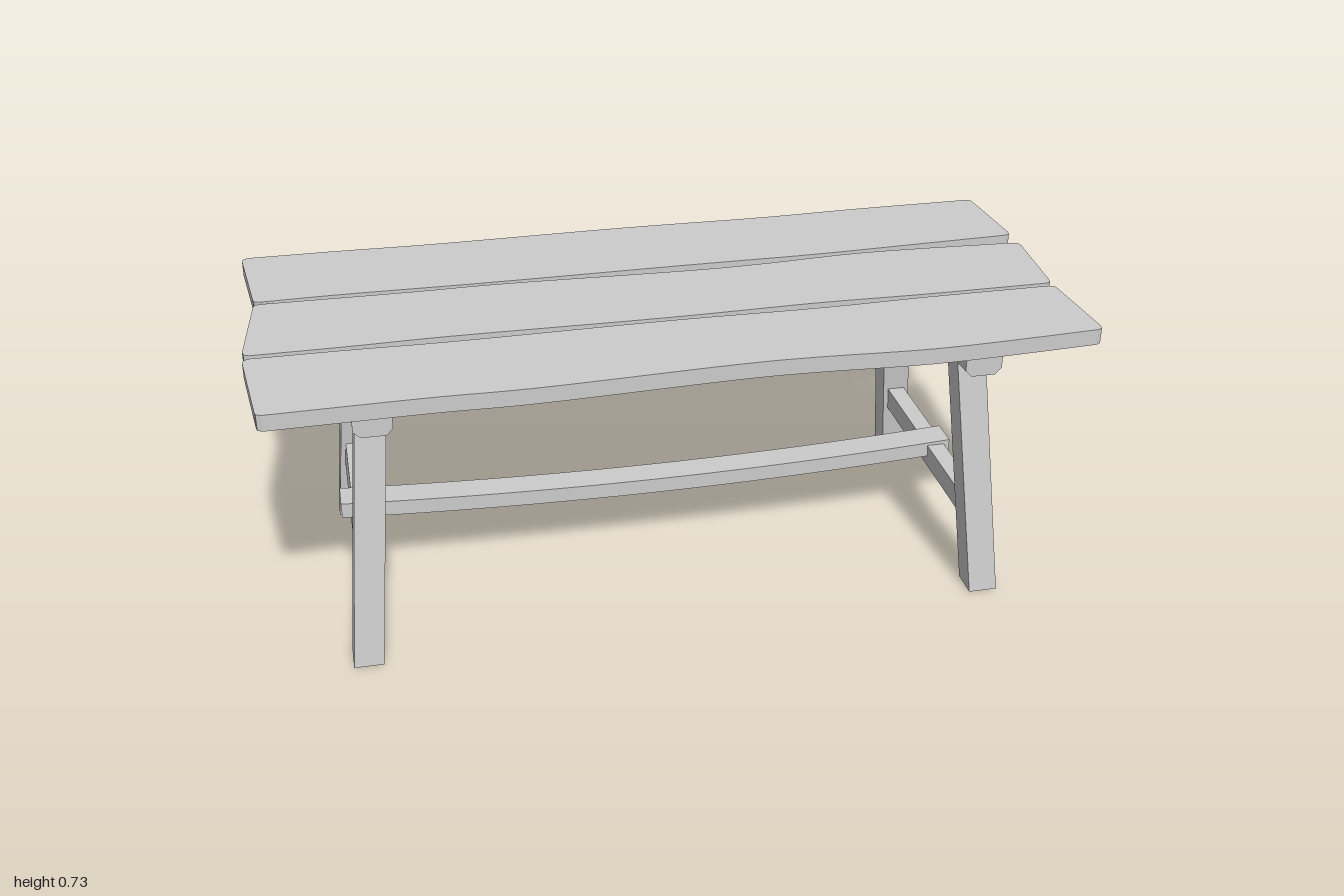
import * as THREE from 'three';

const material = new THREE.MeshStandardMaterial({ color: 0xcccccc, flatShading: true });

function addMesh(parent, name, geometry) {
  const mesh = new THREE.Mesh(geometry, material);
  mesh.name = name;
  parent.add(mesh);
  return mesh;
}

// Box whose vertices are moved by a rule
function shapedBox(w, h, d, segX, rule) {
  let geo = new THREE.BoxGeometry(w, h, d, segX, 1, 1);
  const pos = geo.attributes.position;
  const v = new THREE.Vector3();
  for (let i = 0; i < pos.count; i++) {
    v.fromBufferAttribute(pos, i);
    rule(v);
    pos.setXYZ(i, v.x, v.y, v.z);
  }
  geo = geo.toNonIndexed();
  geo.computeVertexNormals();
  return geo;
}

// Closed solid from equal-length rings (counter-clockwise seen from +z, ordered along +z)
function loft(rings) {
  const out = [];
  const tri = (a, b, c) => out.push(...a, ...b, ...c);
  const n = rings[0].length;
  for (let r = 0; r < rings.length - 1; r++) {
    for (let i = 0; i < n; i++) {
      const j = (i + 1) % n;
      tri(rings[r][i], rings[r][j], rings[r + 1][j]);
      tri(rings[r][i], rings[r + 1][j], rings[r + 1][i]);
    }
  }
  const first = rings[0], last = rings[rings.length - 1];
  for (let i = 1; i < n - 1; i++) {
    tri(first[0], first[i + 1], first[i]);
    tri(last[0], last[i], last[i + 1]);
  }
  const geo = new THREE.BufferGeometry();
  geo.setAttribute('position', new THREE.Float32BufferAttribute(out, 3));
  geo.computeVertexNormals();
  return geo;
}

// Plank with wavy long edges, given as [x, z] points from left to right
function plank(back, front) {
  const smooth = (pts) => new THREE.SplineCurve(pts.map(([x, z]) => new THREE.Vector2(x, -z))).getPoints(28);
  const tip = ([x, z], dx, dz) => new THREE.Vector2(x + dx, -(z + dz));
  const b = back, f = front;
  const outline = [
    ...smooth(f),
    tip(f[f.length - 1], 0.012, -0.006), tip(f[f.length - 1], 0.015, -0.02),
    tip(b[b.length - 1], 0.015, 0.02), tip(b[b.length - 1], 0.012, 0.006),
    ...smooth(b).reverse(),
    tip(b[0], -0.012, 0.006), tip(b[0], -0.015, 0.02),
    tip(f[0], -0.015, -0.02), tip(f[0], -0.012, -0.006),
  ];
  const geo = new THREE.ExtrudeGeometry(new THREE.Shape(outline), { depth: 0.04, bevelEnabled: false });
  geo.rotateX(-Math.PI / 2);
  geo.translate(0, 0.686, 0);
  return geo;
}

// Cross beam with its long edges chamfered towards both ends
function beam(cx) {
  const hw = 0.045, y0 = 0.626, y1 = 0.69;
  const ring = (z, top, bottom) => [
    [cx - hw + bottom, y0, z], [cx + hw - bottom, y0, z],
    [cx + hw, y0 + bottom, z], [cx + hw, y1 - top, z],
    [cx + hw - top, y1, z], [cx - hw + top, y1, z],
    [cx - hw, y1 - top, z], [cx - hw, y0 + bottom, z],
  ];
  const e = 0.0002;
  return loft([
    ring(-0.395, 0.012, 0.016), ring(-0.3, e, 0.008), ring(-0.21, e, e),
    ring(0.21, e, e), ring(0.3, e, 0.008), ring(0.395, 0.012, 0.016),
  ]);
}

// Square leg leaning from its foot centre to its top centre
function leg(foot, top) {
  const h = 0.628;
  return shapedBox(0.072, h, 0.072, 1, (v) => {
    const t = v.y / h + 0.5;
    v.x += THREE.MathUtils.lerp(foot[0], top[0], t);
    v.z += THREE.MathUtils.lerp(foot[1], top[1], t);
    v.y = t * h;
  });
}

export function createModel() {
  const table = new THREE.Group();
  table.name = 'trestleTable';

  // Table top
  const top = new THREE.Group();
  top.name = 'tableTop';
  table.add(top);
  addMesh(top, 'backPlank', plank(
    [[-0.985, -0.432], [-0.75, -0.431], [-0.5, -0.426], [0, -0.432], [0.37, -0.426], [0.65, -0.432], [0.97, -0.432]],
    [[-0.96, -0.154], [-0.75, -0.158], [-0.4, -0.154], [0.1, -0.157], [0.45, -0.156], [0.7, -0.164], [0.985, -0.174]],
  ));
  addMesh(top, 'middlePlank', plank(
    [[-0.96, -0.142], [-0.6, -0.138], [-0.35, -0.14], [0.1, -0.124], [0.3, -0.126], [0.6, -0.141], [0.985, -0.122]],
    [[-0.985, 0.135], [-0.75, 0.134], [-0.5, 0.129], [0, 0.135], [0.37, 0.129], [0.65, 0.135], [0.97, 0.135]],
  ));
  addMesh(top, 'frontPlank', plank(
    [[-0.985, 0.151], [-0.75, 0.152], [-0.5, 0.157], [0, 0.151], [0.37, 0.157], [0.65, 0.151], [0.97, 0.151]],
    [[-0.96, 0.43], [-0.6, 0.424], [-0.35, 0.427], [0.1, 0.408], [0.3, 0.41], [0.6, 0.425], [0.985, 0.408]],
  ));

  // Two trestles: beam, pair of leaning legs and a crossbar
  const trestles = [
    { name: 'rightTrestle', beamX: -0.725, footX: -0.784, topX: -0.727 },
    { name: 'leftTrestle', beamX: 0.711, footX: 0.771, topX: 0.713 },
  ];
  for (const { name, beamX, footX, topX } of trestles) {
    const trestle = new THREE.Group();
    trestle.name = name;
    table.add(trestle);
    addMesh(trestle, 'crossBeam', beam(beamX));
    addMesh(trestle, 'frontLeg', leg([footX, 0.358], [topX, 0.279]));
    addMesh(trestle, 'backLeg', leg([footX, -0.341], [topX, -0.264]));
    const lean = (topX - footX) / 0.628;
    addMesh(trestle, 'crossbar', shapedBox(0.046, 0.065, 0.61, 1, (v) => {
      v.y += 0.2055;
      v.x += footX + lean * v.y;
      v.z += 0.01;
    }));
  }

  // Sagging stretcher that passes through both crossbars
  addMesh(table, 'stretcher', shapedBox(1.6, 0.04, 0.078, 20, (v) => {
    v.x -= 0.013;
    v.y += 0.205 + 0.025 * (v.x / 0.8) ** 2;
    v.z += 0.011;
  }));

  return table;
}
